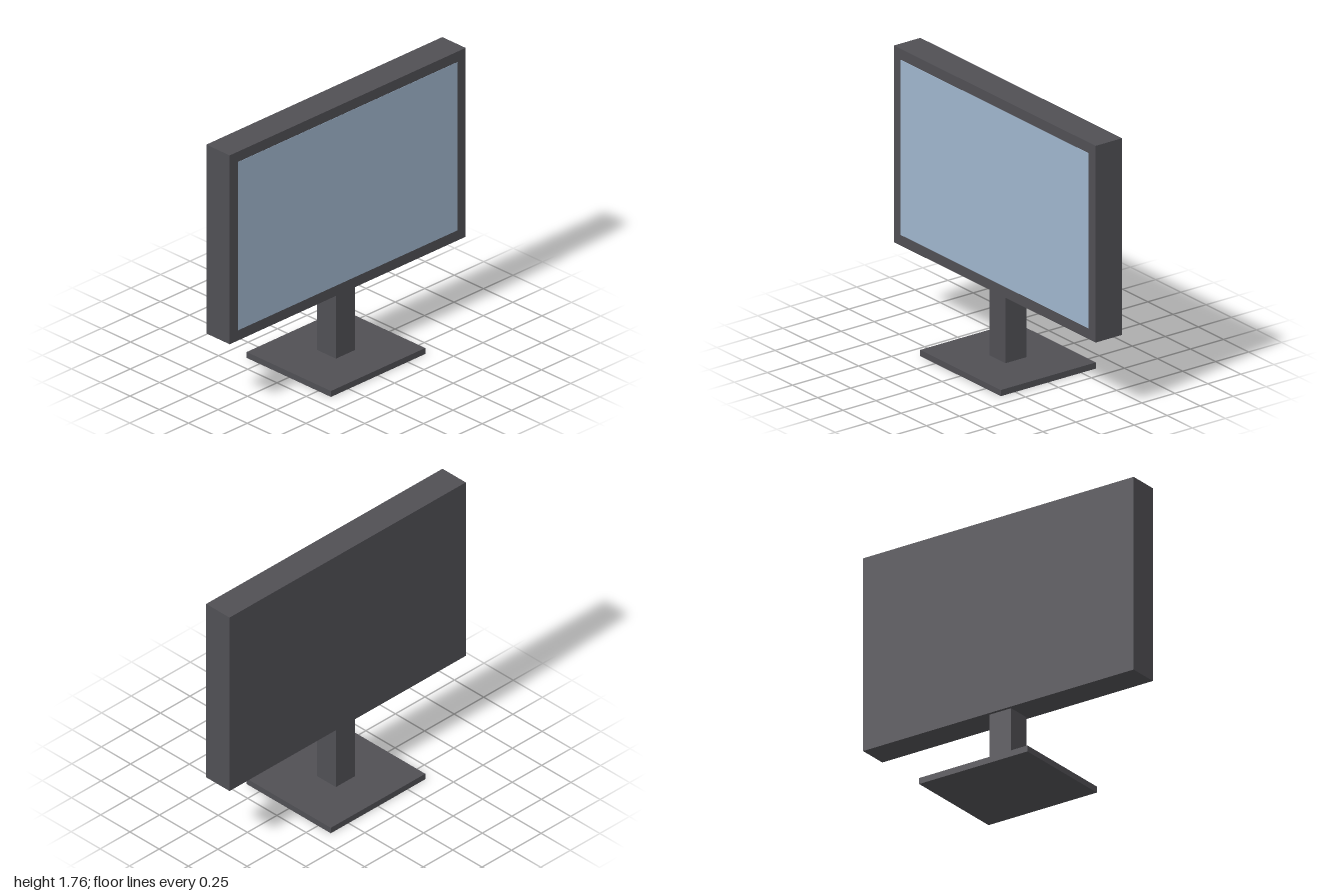
import * as THREE from 'three';

export function createModel() {
  const model = new THREE.Group();
  model.name = 'monitor';

  const casing = new THREE.MeshStandardMaterial({ color: 0x504f54 });
  casing.name = 'dark grey casing';
  const glass = new THREE.MeshStandardMaterial({ color: 0x9fb5cd });
  glass.name = 'pale blue glass';

  // Box standing on a given height, centred on x = 0
  function addBox(name, material, width, height, depth, bottom, z = 0) {
    const mesh = new THREE.Mesh(new THREE.BoxGeometry(width, height, depth), material);
    mesh.name = name;
    mesh.position.set(0, bottom + height / 2, z);
    model.add(mesh);
  }

  // Stand
  addBox('base', casing, 0.8, 0.04, 0.72, 0);
  addBox('neck', casing, 0.16, 0.44, 0.16, 0.04);

  // Display housing with a thin screen set on its front
  addBox('housing', casing, 2, 1.28, 0.2, 0.48);
  addBox('screen', glass, 1.86, 1.14, 0.004, 0.55, 0.1);

  return model;
}
